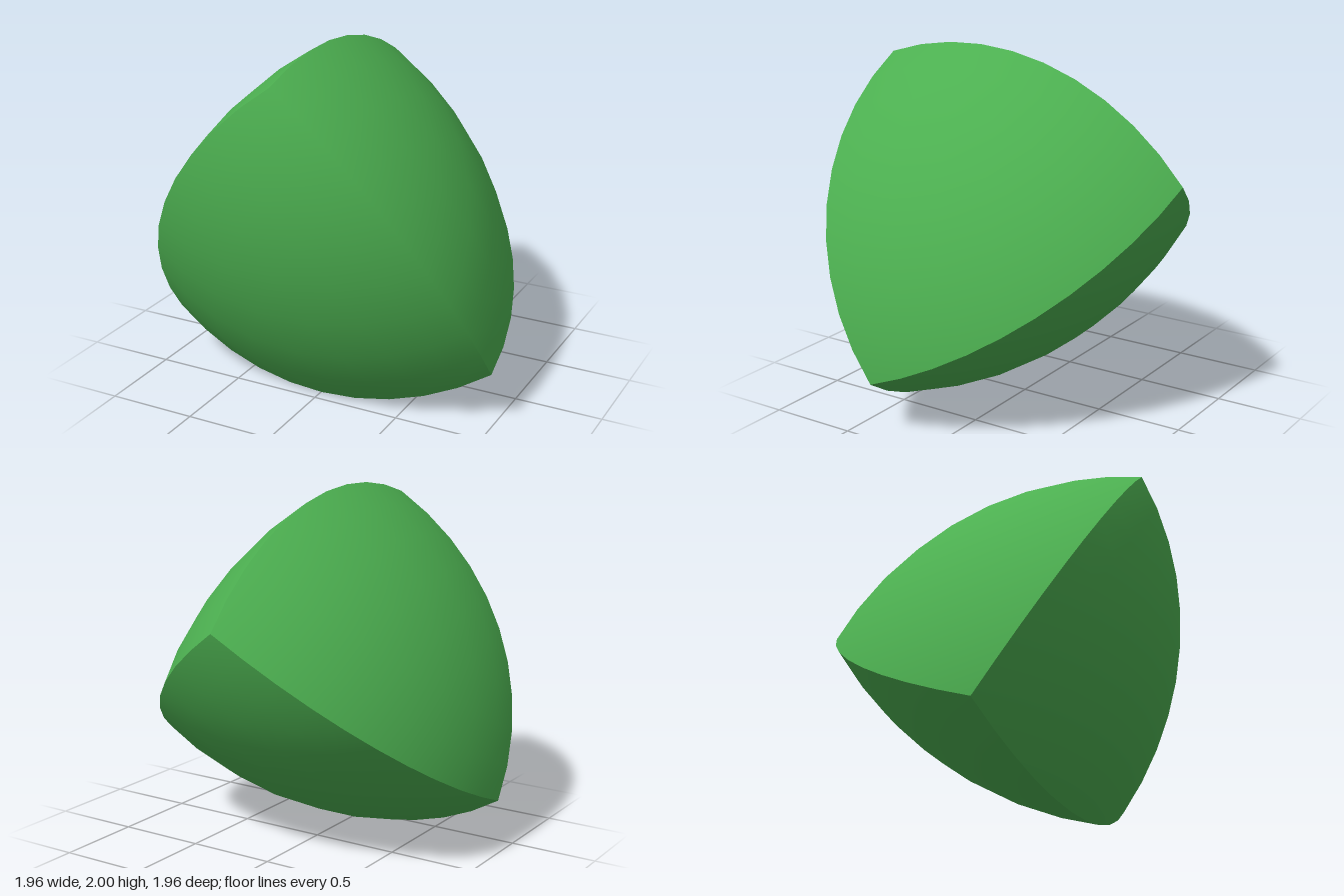
import * as THREE from 'three';

const SIDE = 1.96;                 // tetrahedron edge = radius of every curved face
const STEPS = 10;                  // segments along each edge
const OMEGA = Math.acos(1 / 3);    // angle each edge arc spans

// Corner weight that spaces points evenly along the edge arcs
const weight = t =>
  (3 * Math.sin(t * OMEGA) + Math.sin((1 - t) * OMEGA)) / Math.sin(OMEGA) - 1;

// One face: a spherical patch on corners a, b, c, centred on the opposite corner
function sphericalFace(a, b, c, centre) {
  const positions = [], normals = [], index = [];
  const rowStart = i => (i * (i + 1)) / 2;
  for (let i = 0; i <= STEPS; i++) {
    for (let j = 0; j <= i; j++) {
      const dir = new THREE.Vector3()
        .addScaledVector(a, weight(1 - i / STEPS))
        .addScaledVector(b, weight((i - j) / STEPS))
        .addScaledVector(c, weight(j / STEPS))
        .normalize();
      // Push outwards from the middle until it meets the sphere
      const d = dir.dot(centre);
      const r = d + Math.sqrt(d * d + SIDE * SIDE - centre.lengthSq());
      const p = dir.multiplyScalar(r);
      positions.push(p.x, p.y, p.z);
      const n = p.clone().sub(centre).normalize();
      normals.push(n.x, n.y, n.z);
    }
  }
  const outward = a.clone().cross(b).dot(c) > 0;
  const tri = (p, q, r) => index.push(...(outward ? [p, q, r] : [p, r, q]));
  for (let i = 0; i < STEPS; i++) {
    for (let j = 0; j <= i; j++) {
      const p = rowStart(i) + j, q = rowStart(i + 1) + j;
      tri(p, q, q + 1);
      if (j < i) tri(p, q + 1, p + 1);
    }
  }
  const geo = new THREE.BufferGeometry();
  geo.setAttribute('position', new THREE.Float32BufferAttribute(positions, 3));
  geo.setAttribute('normal', new THREE.Float32BufferAttribute(normals, 3));
  geo.setIndex(index);
  return geo;
}

export function createModel() {
  const green = new THREE.MeshStandardMaterial({ color: 0x4caf50 });
  green.name = 'green';

  // Regular tetrahedron about its centre
  const s = SIDE / 2, h = SIDE / Math.SQRT2 / 2;
  const left = new THREE.Vector3(s, -h, 0);
  const right = new THREE.Vector3(-s, -h, 0);
  const front = new THREE.Vector3(0, h, s);
  const back = new THREE.Vector3(0, h, -s);

  const body = new THREE.Group();
  body.name = 'curvedTetrahedron';
  const faces = {
    frontFace: [left, right, front, back],
    bottomFace: [left, right, back, front],
    leftFace: [left, front, back, right],
    rightFace: [right, front, back, left],
  };
  for (const [name, corners] of Object.entries(faces)) {
    const mesh = new THREE.Mesh(sphericalFace(...corners), green);
    mesh.name = name;
    body.add(mesh);
  }

  // Leaned back, with a very slight roll
  body.rotation.set(-0.275, 0, 0.005);
  body.position.set(0, 0.967, 0.155);

  const model = new THREE.Group();
  model.name = 'model';
  model.add(body);
  return model;
}
